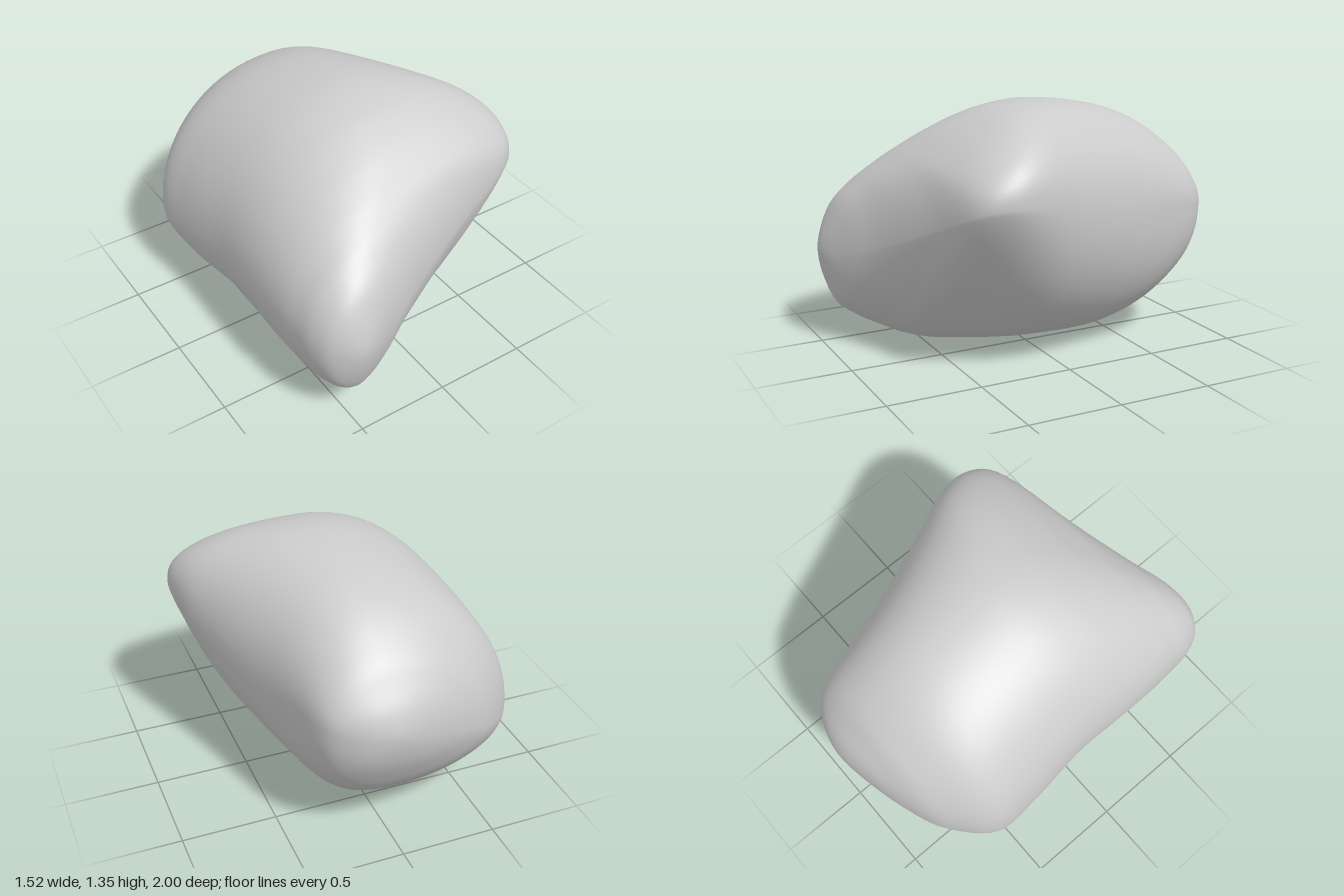
import * as THREE from 'three';
import { mergeVertices } from 'three/addons/utils/BufferGeometryUtils.js';

// Cross-sections from back to front. Each is an oval given by its extents and
// the place where each extent is reached:
// z, xMin, xMax, yMin, yMax, yAtXMin, yAtXMax, xAtYMin, xAtYMax
const SECTIONS = [
  [-1.0, 0.05, 0.05, 0.72, 0.72, 0.72, 0.72, 0.05, 0.05],
  [-0.97, -0.15, 0.2, 0.57, 0.84, 0.68, 0.73, 0.04, 0.04],
  [-0.9, -0.38, 0.32, 0.43, 0.95, 0.6, 0.75, 0.0, 0.02],
  [-0.8, -0.57, 0.385, 0.29, 1.07, 0.52, 0.76, -0.05, 0.02],
  [-0.6, -0.745, 0.44, 0.11, 1.21, 0.47, 0.77, -0.13, 0.02],
  [-0.35, -0.75, 0.515, 0.01, 1.3, 0.5, 0.78, -0.19, 0.04],
  [0.0, -0.715, 0.642, 0.01, 1.35, 0.57, 0.85, -0.2, 0.08],
  [0.25, -0.715, 0.735, 0.01, 1.32, 0.57, 0.93, -0.22, 0.09],
  [0.45, -0.715, 0.755, 0.015, 1.23, 0.56, 0.95, -0.25, 0.02],
  [0.6, -0.71, 0.66, 0.05, 1.125, 0.55, 0.91, -0.3, -0.1],
  [0.7, -0.7, 0.33, 0.09, 1.04, 0.54, 0.77, -0.36, -0.2],
  [0.82, -0.685, -0.02, 0.15, 0.92, 0.53, 0.63, -0.43, -0.33],
  [0.93, -0.63, -0.27, 0.25, 0.77, 0.52, 0.54, -0.47, -0.43],
  [1.0, -0.49, -0.49, 0.52, 0.52, 0.52, 0.52, -0.49, -0.49],
];

// Smooth blend through the sections; the ends are mirrored so they close round
function sectionAt(t) {
  const last = SECTIONS.length - 1;
  const i = Math.min(Math.floor(t), last - 1);
  const f = t - i;
  const value = (row, k) => {
    if (row >= 0 && row <= last) return SECTIONS[row][k];
    const [end, inner] = row < 0 ? [0, 1] : [last, last - 1];
    if (k === 0) return SECTIONS[inner][k];
    return 2 * SECTIONS[end][k] - SECTIONS[inner][k];
  };
  return SECTIONS[0].map((_, k) => {
    const [a, b, c, d] = [-1, 0, 1, 2].map((o) => value(i + o, k));
    return b + 0.5 * f * (c - a + f * (2 * a - 5 * b + 4 * c - d + f * (3 * (b - c) + d - a)));
  });
}

const bump = (z, center, width) => Math.exp(-(((z - center) / width) ** 2));

// Point on an oval made of four quarter arcs. On the right side, the arc is
// fuller at the upper front corner and back ridge, hollower under the front.
function ovalPoint([z, x0, x1, y0, y1, yL, yR, xB, xT], angle) {
  const c = Math.cos(angle), s = Math.sin(angle);
  const right = c >= 0, top = s >= 0;
  const upper = 0.96 - 0.2 * bump(z, 0.4, 0.35);
  const lower = 1 + 0.62 * bump(z, 0.62, 0.36) - 0.2 * bump(z, -0.8, 0.35);
  const e = right ? (top ? upper : lower) : 1;
  const cx = top ? xT : xB;
  const cy = right ? yR : yL;
  return [
    cx + ((right ? x1 : x0) - cx) * Math.abs(c) ** e,
    cy + ((top ? y1 : y0) - cy) * Math.abs(s) ** e,
    z,
  ];
}

function boulderGeometry(steps = 6, sides = 72) {
  const positions = [], indices = [];
  const rings = (SECTIONS.length - 1) * steps;
  for (let i = 0; i <= rings; i++) {
    const section = sectionAt(i / steps);
    for (let j = 0; j < sides; j++) {
      positions.push(...ovalPoint(section, (j / sides) * Math.PI * 2));
    }
  }
  for (let i = 0; i < rings; i++) {
    for (let j = 0; j < sides; j++) {
      const k = (j + 1) % sides;
      const a = i * sides + j, b = i * sides + k;
      const c = b + sides, d = a + sides;
      if (i < rings - 1) indices.push(a, b, c, a, c, d);
      else indices.push(a, b, c);
    }
  }
  const geometry = new THREE.BufferGeometry();
  geometry.setAttribute('position', new THREE.Float32BufferAttribute(positions, 3));
  geometry.setIndex(indices);
  const merged = mergeVertices(geometry, 1e-5);
  merged.computeVertexNormals();
  return merged;
}

export function createModel() {
  const group = new THREE.Group();
  group.name = 'rock';
  const material = new THREE.MeshStandardMaterial({ color: 0xcccccc });
  const boulder = new THREE.Mesh(boulderGeometry(), material);
  boulder.name = 'boulder';
  group.add(boulder);
  return group;
}
